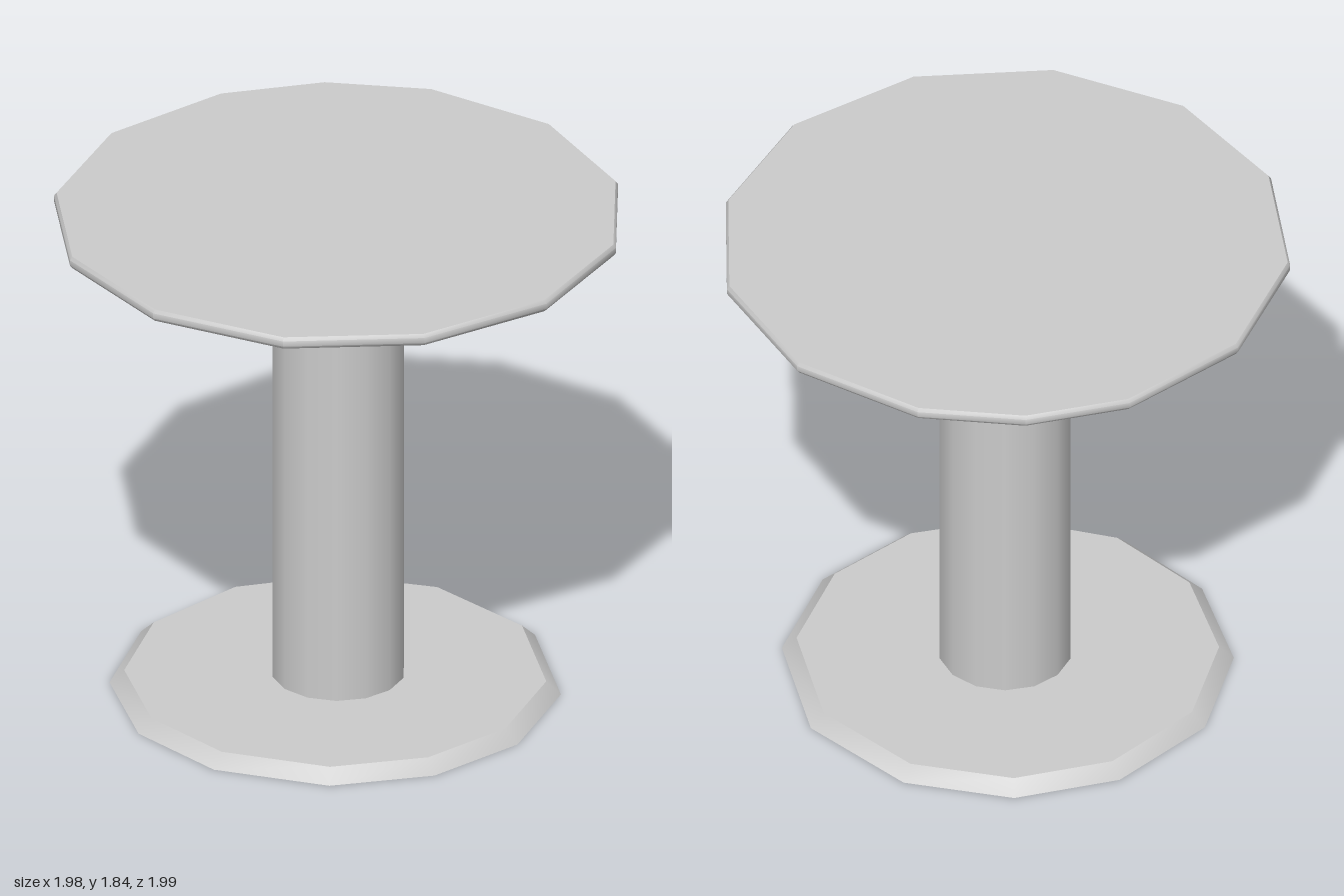
import * as THREE from 'three';
import { toCreasedNormals } from 'three/addons/utils/BufferGeometryUtils.js';

// Corner directions in degrees, measured from +x towards +z
const TOP_CORNERS = [11, 39.5, 68, 97, 125.5, 154.5, 183.5, 212.5, 241.5, 270, 291.6, 313.4, 342];
const BASE_CORNERS = [-37, -4, 30.5, 61, 88.5, 116, 147, 175, 205, 235, 266, 294];

// Sweep a [radius, y] profile around uneven corner directions
function facetedDisc(corners, profile) {
  const n = corners.length;
  const positions = [];
  const point = ([r, y], i) => {
    const a = THREE.MathUtils.degToRad(corners[i % n]);
    return [r * Math.cos(a), y, r * Math.sin(a)];
  };
  for (let k = 0; k < profile.length - 1; k++) {
    const low = profile[k], high = profile[k + 1];
    for (let i = 0; i < n; i++) {
      const a = point(low, i), b = point(low, i + 1);
      const c = point(high, i), d = point(high, i + 1);
      if (low[0] > 0) positions.push(...a, ...c, ...b);
      if (high[0] > 0) positions.push(...b, ...c, ...d);
    }
  }
  const geometry = new THREE.BufferGeometry();
  geometry.setAttribute('position', new THREE.Float32BufferAttribute(positions, 3));
  return toCreasedNormals(geometry, 0.7);
}

export function createModel() {
  const model = new THREE.Group();
  model.name = 'pedestalTable';
  const solid = new THREE.MeshStandardMaterial({ color: 0xcccccc });
  const shell = new THREE.MeshStandardMaterial({ color: 0xcccccc, side: THREE.DoubleSide });

  const add = (name, geometry, material, x, y) => {
    const mesh = new THREE.Mesh(geometry, material);
    mesh.name = name;
    mesh.position.set(x, y, 0);
    model.add(mesh);
  };

  // Table top: thin slab with a softly rounded rim and slightly recessed underside
  add('tableTop', facetedDisc(TOP_CORNERS, [
    [0, 1.806], [0.986, 1.806], [0.989, 1.794], [0.998, 1.806],
    [0.998, 1.826], [0.989, 1.838], [0, 1.838],
  ]), solid, 0.006, 0);

  // Column: open tube reaching just through the base plate
  const bottom = 0.03, top = 1.808;
  add('column', new THREE.CylinderGeometry(0.233, 0.233, top - bottom, 14, 1, true),
    shell, 0.005, (top + bottom) / 2);

  // Base: sloped plate, hollow underneath
  add('base', facetedDisc(BASE_CORNERS, [[0.786, 0], [0.735, 0.048], [0, 0.048]]), shell, -0.004, 0);

  return model;
}
